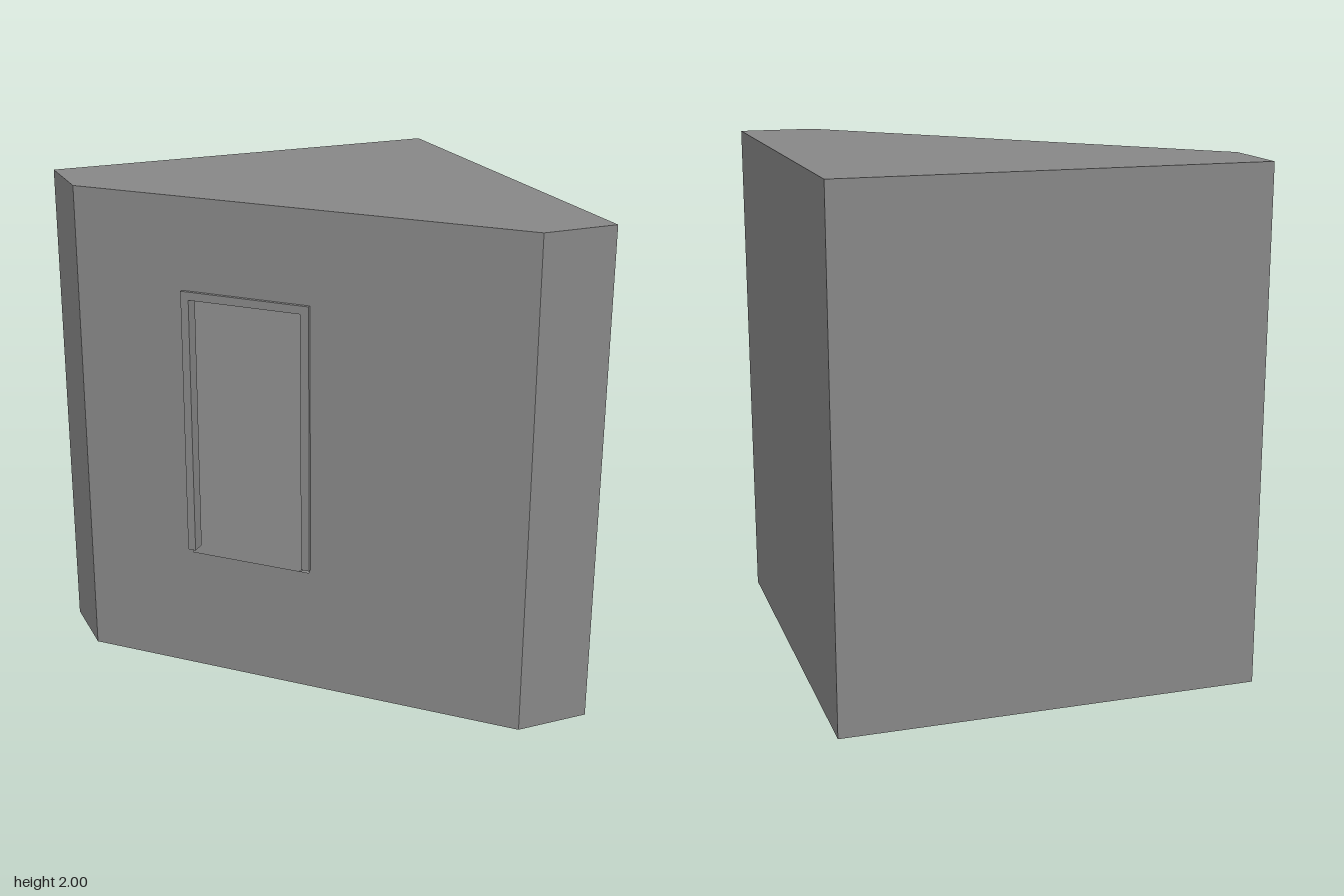
import * as THREE from 'three';

const HEIGHT = 2;
// Floor plan as [x, z]; the second and third corners span the diagonal front
const PLAN = [
  [-0.815, -0.815], [-0.815, -0.515], [0.515, 0.815], [0.815, 0.815], [0.815, -0.815],
];
const DIAGONAL = 1; // index of the plan edge that carries the opening

const polygon = (points) => new THREE.Shape(points.map(([x, y]) => new THREE.Vector2(x, y)));
const rectangle = (x0, y0, x1, y1) => polygon([[x0, y0], [x1, y0], [x1, y1], [x0, y1]]);

export function createModel() {
  const model = new THREE.Group();
  const material = new THREE.MeshStandardMaterial({
    color: 0x878787, flatShading: true, side: THREE.DoubleSide,
  });
  const add = (name, geometry, parent) => {
    const mesh = new THREE.Mesh(geometry, material);
    mesh.name = name;
    parent.add(mesh);
    return mesh;
  };

  // Hollow shell: one thin wall per plan edge
  PLAN.forEach(([x, z], i) => {
    const [x2, z2] = PLAN[(i + 1) % PLAN.length];
    const length = Math.hypot(x2 - x, z2 - z);
    const side = new THREE.Group();
    side.position.set(x, 0, z);
    side.rotation.y = Math.atan2(z - z2, x2 - x);
    side.name = i === DIAGONAL ? 'frontSide' : 'side';
    model.add(side);

    const wall = rectangle(0, 0, length, HEIGHT);
    if (i === DIAGONAL) {
      // Tall opening into the hollow interior
      wall.holes.push(rectangle(0.475, 0.515, 0.99, 1.615));

      // Three-sided frame lining the opening, without a sill
      const frame = polygon([
        [0.46, 0.53], [0.493, 0.53], [0.493, 1.597], [0.962, 1.597],
        [0.962, 0.53], [0.997, 0.53], [0.997, 1.63], [0.46, 1.63],
      ]);
      const geometry = new THREE.ExtrudeGeometry(frame, { depth: 0.056, bevelEnabled: false });
      add('openingFrame', geometry, side).position.z = -0.042;
    }
    add('wall', new THREE.ShapeGeometry(wall), side);
  });

  // Floor and top
  const floor = new THREE.ShapeGeometry(polygon(PLAN)).rotateX(Math.PI / 2);
  add('floor', floor, model);
  const top = new THREE.ShapeGeometry(polygon(PLAN.map(([x, z]) => [x, -z]))).rotateX(-Math.PI / 2);
  add('top', top, model).position.y = HEIGHT;

  return model;
}
